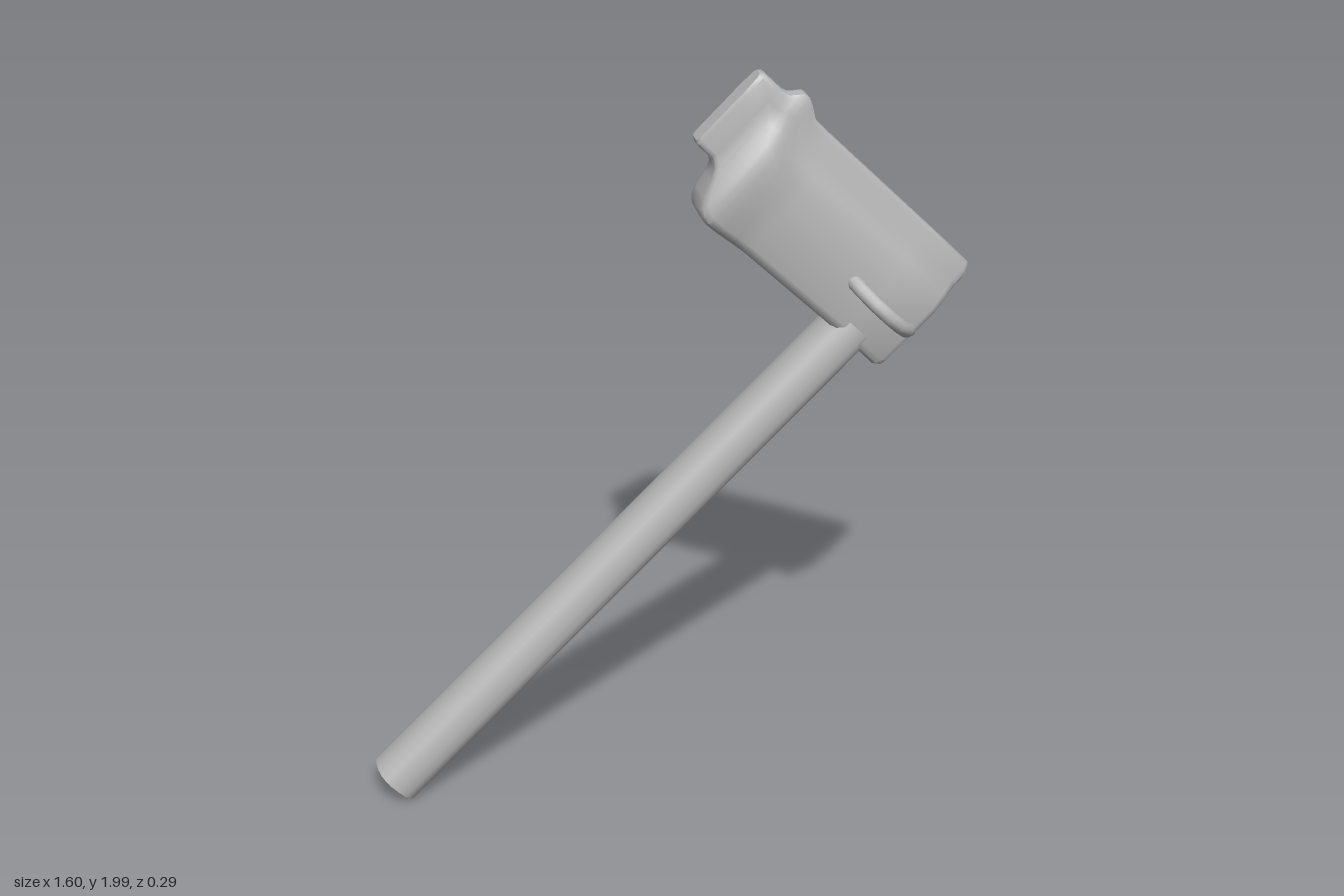
import * as THREE from 'three';
import { toCreasedNormals } from 'three/addons/utils/BufferGeometryUtils.js';

const grey = new THREE.MeshStandardMaterial({ color: 0xb8b8b8 });
grey.name = 'plain grey';

function addMesh(parent, geometry, name) {
  const mesh = new THREE.Mesh(geometry, grey);
  mesh.name = name;
  parent.add(mesh);
  return mesh;
}

// Half thickness across the head: blunt back edge, flat cheek, thin front rib
function sectionPoints(w, edge) {
  return [[0, 0.65 * w], [0.02, 0.88 * w], [0.07, w], [0.6, w], [0.72, (w + edge) / 2 + 0.003],
    [0.84, edge], [0.96, edge * 0.9], [1, edge * 0.6]];
}

// Loft through cross-sections given as [distance along head, low, high, thickness, rib]
function headGeometry(sections) {
  const positions = [], index = [];
  let n = 0;
  for (const [q, low, high, w, edge] of sections) {
    const side = sectionPoints(w, edge).map(([t, z]) => [low + (high - low) * t, z]);
    const ring = [...side, ...side.slice().reverse().map(([p, z]) => [p, -z])];
    n = ring.length;
    for (const [p, z] of ring) positions.push(-q, p, z);
  }
  const last = sections.length - 1;
  for (let i = 0; i < last; i++) {
    for (let j = 0; j < n; j++) {
      const k = (j + 1) % n;
      const a = i * n + j, b = i * n + k, c = b + n, d = a + n;
      index.push(a, b, c, a, c, d);
    }
  }
  // End caps
  for (const i of [0, last]) {
    const [q, low, high] = sections[i];
    const centre = positions.length / 3;
    positions.push(-q, (low + high) / 2, 0);
    for (let j = 0; j < n; j++) {
      const a = i * n + j, b = i * n + (j + 1) % n;
      if (i === 0) index.push(centre, b, a);
      else index.push(centre, a, b);
    }
  }
  const geometry = new THREE.BufferGeometry();
  geometry.setAttribute('position', new THREE.Float32BufferAttribute(positions, 3));
  geometry.setIndex(index);
  return toCreasedNormals(geometry, 0.75);
}

// Slightly squared oval shaft
function handleGeometry(bottom, top) {
  const geometry = new THREE.CylinderGeometry(0.93, 1, top - bottom, 20, 4);
  const pos = geometry.attributes.position;
  const square = (v) => Math.sign(v) * Math.pow(Math.abs(v), 0.82);
  for (let i = 0; i < pos.count; i++) {
    pos.setX(i, square(pos.getX(i)) * 0.069);
    pos.setZ(i, square(pos.getZ(i)) * 0.076);
  }
  geometry.translate(-0.57, (bottom + top) / 2, 0);
  geometry.computeVertexNormals();
  return toCreasedNormals(geometry, 0.75);
}

export function createModel() {
  const model = new THREE.Group();
  model.name = 'hammer';

  // The whole tool leans at 45 degrees
  const tool = new THREE.Group();
  tool.name = 'leaningTool';
  tool.rotation.z = -Math.PI / 4;
  model.add(tool);

  addMesh(tool, handleGeometry(-0.491, 1.27), 'handle');

  const head = headGeometry([
    [0.438, 1.25, 1.555, 0.045, 0.02],
    [0.446, 1.232, 1.574, 0.058, 0.026],
    [0.46, 1.225, 1.584, 0.064, 0.028],
    [0.60, 1.228, 1.584, 0.065, 0.028],
    [0.95, 1.222, 1.584, 0.065, 0.028],
    [1.00, 1.218, 1.584, 0.069, 0.028],
    [1.05, 1.214, 1.586, 0.08, 0.029],
    [1.085, 1.213, 1.608, 0.08, 0.03],
    [1.105, 1.217, 1.617, 0.077, 0.03],
    [1.122, 1.23, 1.615, 0.07, 0.03],
    [1.135, 1.258, 1.6, 0.06, 0.03],
    [1.148, 1.3, 1.588, 0.048, 0.03],
    [1.162, 1.328, 1.584, 0.038, 0.03],
    [1.185, 1.342, 1.584, 0.032, 0.03],
    [1.236, 1.343, 1.584, 0.031, 0.03],
    [1.246, 1.35, 1.577, 0.026, 0.025],
  ]);
  addMesh(tool, head, 'head');

  // Loop around the joint of head and handle
  const ring = addMesh(tool, new THREE.TorusGeometry(0.127, 0.02, 10, 16), 'ring');
  ring.rotation.x = Math.PI / 2;
  ring.scale.x = 0.95;
  ring.position.set(-0.569, 1.354, 0);

  return model;
}
